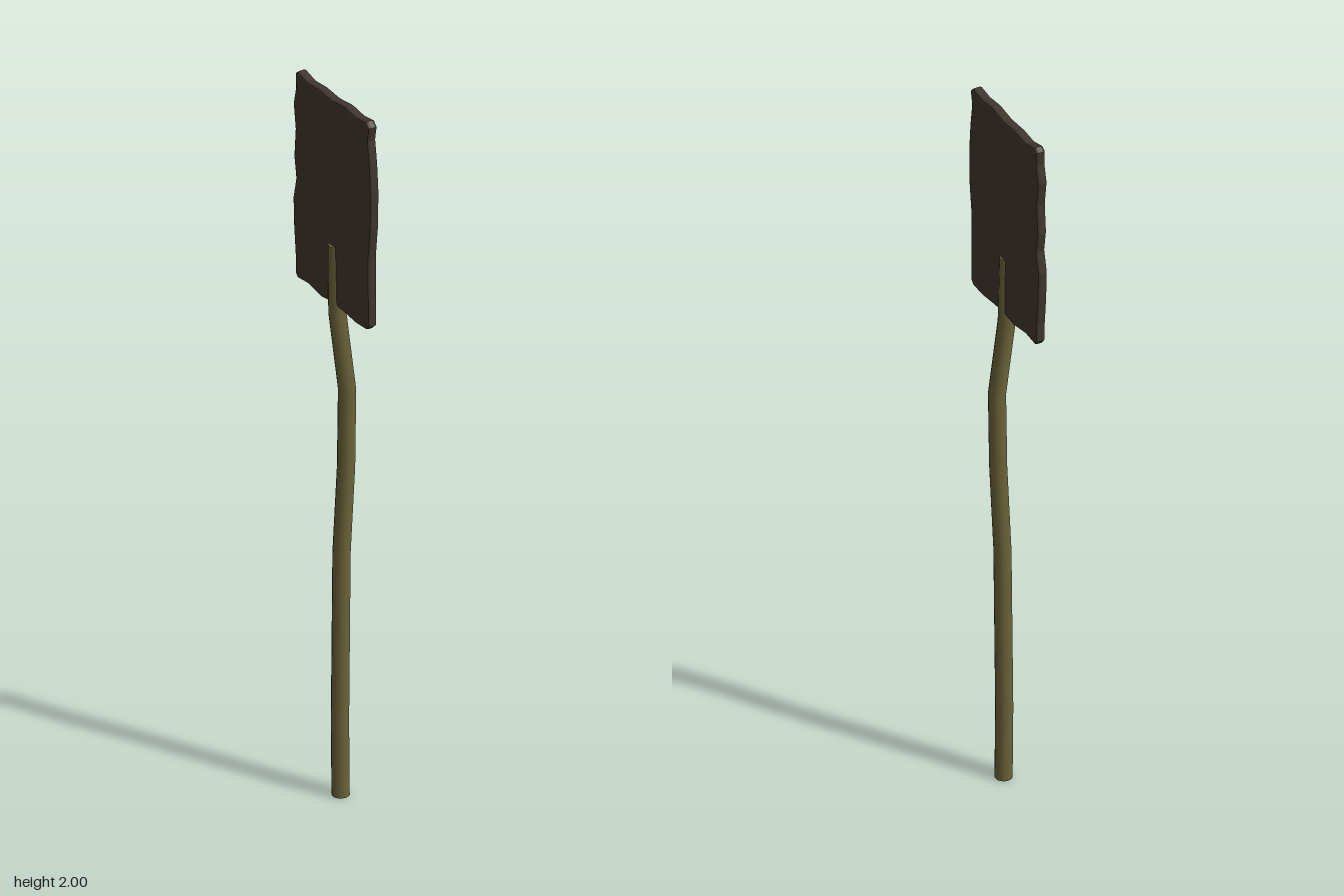
import * as THREE from 'three';

const shaftMaterial = new THREE.MeshStandardMaterial({ color: 0x6b6339 });
shaftMaterial.name = 'olive wood';
const bladeMaterial = new THREE.MeshStandardMaterial({ color: 0x40372f });
bladeMaterial.name = 'dark slate brown';

// Crooked round stick: each ring is [x, y, z, radius]
function makeShaft() {
  const rings = [
    [-0.005, 0, 0.012, 0.023],
    [-0.007, 0.21, 0.012, 0.023],
    [0.001, 0.69, 0.007, 0.023],
    [0.006, 0.94, 0.02, 0.023],
    [0.011, 1.16, 0.017, 0.023],
    [-0.012, 1.38, 0.008, 0.023],
    [-0.012, 1.575, 0.003, 0.021],
  ];
  const last = rings.length - 1;
  const geometry = new THREE.CylinderGeometry(1, 1, 1, 14, last);
  const pos = geometry.attributes.position;
  for (let i = 0; i < pos.count; i++) {
    const [x, y, z, r] = rings[Math.round((pos.getY(i) + 0.5) * last)];
    pos.setXYZ(i, x + pos.getX(i) * r, y, z + pos.getZ(i) * r);
  }
  const mesh = new THREE.Mesh(geometry, shaftMaterial);
  mesh.name = 'shaft';
  return mesh;
}

// Rough-edged flat blade, outlined as [z, y] and bevelled all round
function makeBlade() {
  const outline = [
    [0.155, 1.403], [0.168, 1.415], [0.167, 1.52], [0.166, 1.61], [0.176, 1.70], [0.178, 1.80],
    [0.172, 1.88], [0.163, 1.945], [0.17, 1.985], [0.155, 1.998],
    [0.11, 1.992], [0.06, 1.998], [0.0, 1.99], [-0.06, 1.994], [-0.11, 1.989], [-0.155, 2.0],
    [-0.168, 1.99], [-0.166, 1.95], [-0.177, 1.90], [-0.168, 1.83], [-0.174, 1.75], [-0.165, 1.69],
    [-0.178, 1.63], [-0.175, 1.55], [-0.168, 1.47], [-0.168, 1.42], [-0.158, 1.407],
    [-0.11, 1.412], [-0.05, 1.402], [0.0, 1.41], [0.06, 1.405], [0.11, 1.4],
  ].map(([z, y]) => new THREE.Vector2(z, y));
  const bevel = 0.008, thickness = 0.028;
  const geometry = new THREE.ExtrudeGeometry(new THREE.Shape(outline), {
    depth: thickness - 2 * bevel,
    bevelThickness: bevel,
    bevelSize: bevel,
    bevelOffset: -bevel,
    bevelSegments: 2,
  });
  geometry.translate(0, 0, bevel - thickness / 2);
  geometry.rotateY(-Math.PI / 2);
  const mesh = new THREE.Mesh(geometry, bladeMaterial);
  mesh.name = 'blade';
  mesh.position.x = -0.011;
  return mesh;
}

export function createModel() {
  const group = new THREE.Group();
  group.name = 'paddle';
  group.add(makeShaft(), makeBlade());
  return group;
}
